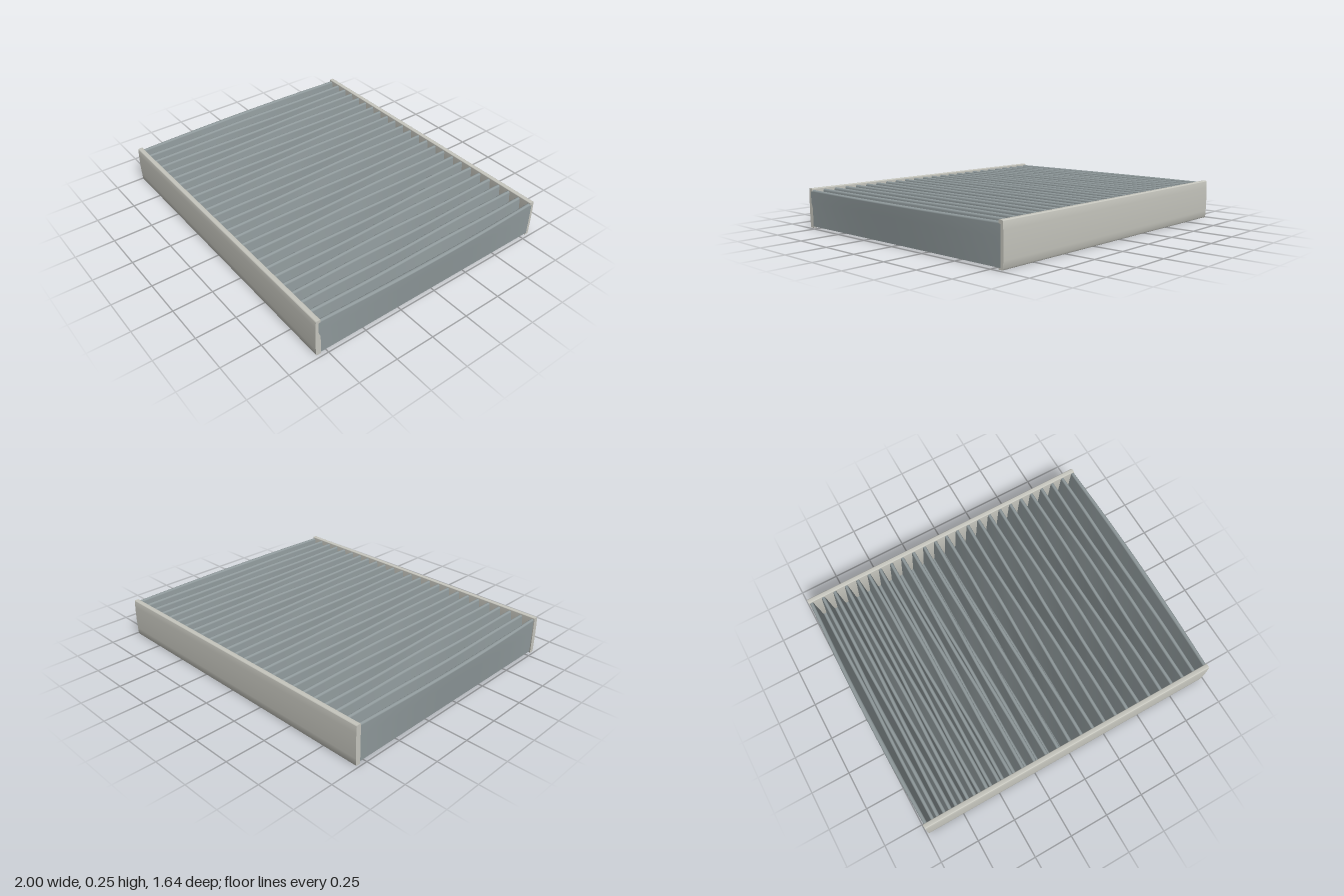
import * as THREE from 'three';
import { toCreasedNormals } from 'three/addons/utils/BufferGeometryUtils.js';

const PLEATS = 24, HALF_WIDTH = 0.97, BOTTOM = 0.01, TOP = 0.236, TIP = 0.011;

// Cross-section of the folded sheet: end wall, rounded crests and valleys, end wall
function pleatProfile() {
  const pts = [];
  const pitch = (2 * HALF_WIDTH) / PLEATS;
  pts.push({ x: -HALF_WIDTH - TIP, y: BOTTOM, fold: 0 });
  pts.push({ x: -HALF_WIDTH - TIP, y: 0.16, fold: 0 });
  for (let i = 0; i <= 2 * PLEATS; i++) {
    const up = i % 2 === 0 ? 1 : -1;
    const cx = -HALF_WIDTH + (i * pitch) / 2;
    const cy = up > 0 ? TOP - TIP : BOTTOM + TIP;
    for (let k = 0; k <= 6; k++) {
      const a = Math.PI * (1 - k / 6);
      pts.push({ x: cx + TIP * Math.cos(a), y: cy + up * TIP * Math.sin(a), fold: i });
    }
  }
  pts.push({ x: HALF_WIDTH + TIP, y: 0.16, fold: 2 * PLEATS });
  pts.push({ x: HALF_WIDTH + TIP, y: BOTTOM, fold: 2 * PLEATS });
  return pts;
}

// Sweep the profile along z, with a slight paper-like waviness away from the ends
function pleatedSheet() {
  const profile = pleatProfile(), rows = 28, halfDepth = 0.8;
  const pos = [], index = [];
  for (let j = 0; j <= rows; j++) {
    const z = -halfDepth + (2 * halfDepth * j) / rows;
    const slack = Math.cos((z / halfDepth) * Math.PI / 2);
    for (const p of profile) {
      const edge = Math.pow(p.x / (HALF_WIDTH + TIP), 15);
      const wave = 0.006 * Math.sin(p.fold * 2.3 + z * 5) * (1 - Math.abs(edge));
      const bulge = 0.019 * edge * Math.max(0, (p.y - BOTTOM) / (TOP - BOTTOM));
      pos.push(p.x + slack * (wave + bulge), p.y, z);
    }
  }
  const n = profile.length;
  for (let j = 0; j < rows; j++) {
    for (let i = 0; i < n - 1; i++) {
      const a = j * n + i, b = a + 1, c = a + n, d = c + 1;
      index.push(a, c, b, b, c, d);
    }
  }
  const geo = new THREE.BufferGeometry();
  geo.setAttribute('position', new THREE.Float32BufferAttribute(pos, 3));
  geo.setIndex(index);
  geo.computeVertexNormals();
  return geo;
}

// Felt strip: thin upright section with a gently bowed outer face, run along x
function stripGeometry() {
  const s = new THREE.Shape();
  s.moveTo(-0.011, 0);
  s.lineTo(0.009, 0);
  s.quadraticCurveTo(0.014, 0, 0.015, 0.008);
  s.quadraticCurveTo(0.022, 0.1225, 0.015, 0.237);
  s.quadraticCurveTo(0.014, 0.245, 0.009, 0.245);
  s.lineTo(-0.011, 0.245);
  s.quadraticCurveTo(-0.015, 0.245, -0.015, 0.24);
  s.lineTo(-0.015, 0.005);
  s.quadraticCurveTo(-0.015, 0, -0.011, 0);
  const geo = new THREE.ExtrudeGeometry(s, { depth: 1.968, bevelEnabled: false, curveSegments: 6 });
  geo.translate(0, 0, -0.984);
  geo.rotateY(-Math.PI / 2);
  return toCreasedNormals(geo, 0.7);
}

export function createModel() {
  const model = new THREE.Group();
  model.name = 'pleatedAirFilter';

  const paper = new THREE.MeshStandardMaterial({ color: 0x8f999b, side: THREE.DoubleSide });
  const felt = new THREE.MeshStandardMaterial({ color: 0xc6c6be });

  const sheet = new THREE.Mesh(pleatedSheet(), paper);
  sheet.name = 'pleatedMedia';
  model.add(sheet);

  // Matching strips hold the pleat ends at front and back
  const strip = stripGeometry();
  for (const side of [1, -1]) {
    const mesh = new THREE.Mesh(strip, felt);
    mesh.name = side > 0 ? 'frontEdgeStrip' : 'backEdgeStrip';
    mesh.position.set(-0.003, 0, side * 0.801);
    if (side < 0) mesh.rotation.y = Math.PI;
    model.add(mesh);
  }
  return model;
}
